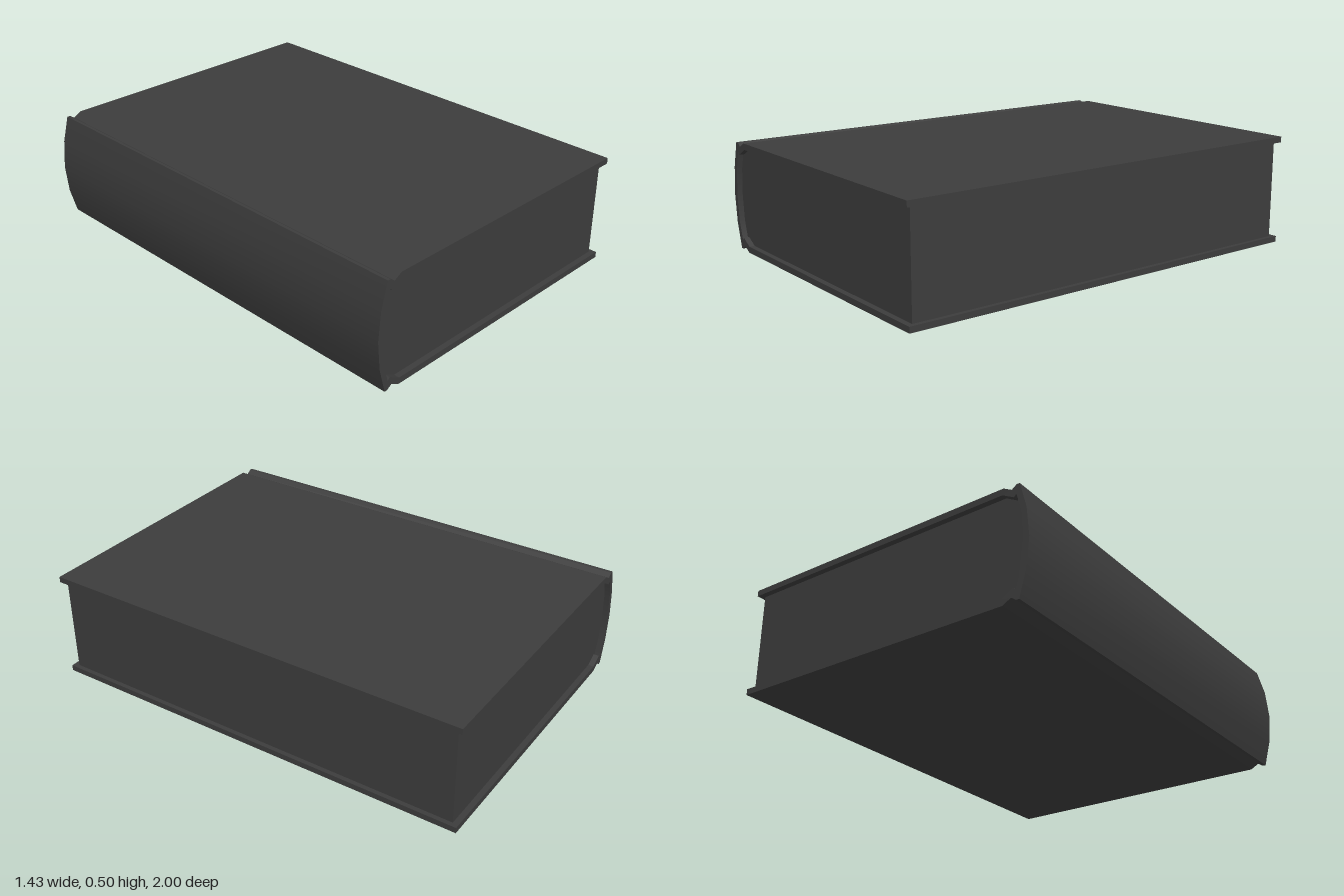
import * as THREE from 'three';
import { toCreasedNormals } from 'three/addons/utils/BufferGeometryUtils.js';

const HEIGHT = 0.495;

// Upper half of each cross-section, from the fore edge round to the middle of the spine
const outer = [[0.716, 0.493], [-0.6, 0.495], [-0.638, 0.474], [-0.66, 0.49], [-0.674, 0.49], [-0.705, 0.375], [-0.717, 0.2475]];
const inner = [[-0.595, 0.467], [-0.648, 0.437], [-0.659, 0.449], [-0.683, 0.365], [-0.692, 0.2475]];

// Adds the lower half by mirroring about mid height
function mirrored(half) {
  const lower = half.slice(0, -1).reverse().map(([x, y]) => [x, HEIGHT - y]);
  return [...half, ...lower];
}

// Extrudes a profile along z, centred, with sharp edges and a smooth spine
function extruded(name, points, depth, color) {
  const shape = new THREE.Shape(points.map(([x, y]) => new THREE.Vector2(x, y)));
  const geometry = new THREE.ExtrudeGeometry(shape, { depth, bevelEnabled: false });
  geometry.translate(0, 0, -depth / 2);
  const mesh = new THREE.Mesh(toCreasedNormals(geometry, 0.4), new THREE.MeshStandardMaterial({ color }));
  mesh.name = name;
  return mesh;
}

export function createModel() {
  const book = new THREE.Group();
  book.name = 'book';

  // Cover: boards, hinge grooves and rounded spine in one wrapped shell
  const lining = mirrored([[0.716, 0.467], ...inner]);
  const cover = extruded('cover', [...mirrored(outer), ...lining.reverse()], 2, 0x3c3c3c);

  // Page block: fills the cover, set back on three sides
  const pages = extruded('pages', mirrored([[0.696, 0.467], ...inner]), 1.95, 0x3c3c3c);

  book.add(cover, pages);
  return book;
}
